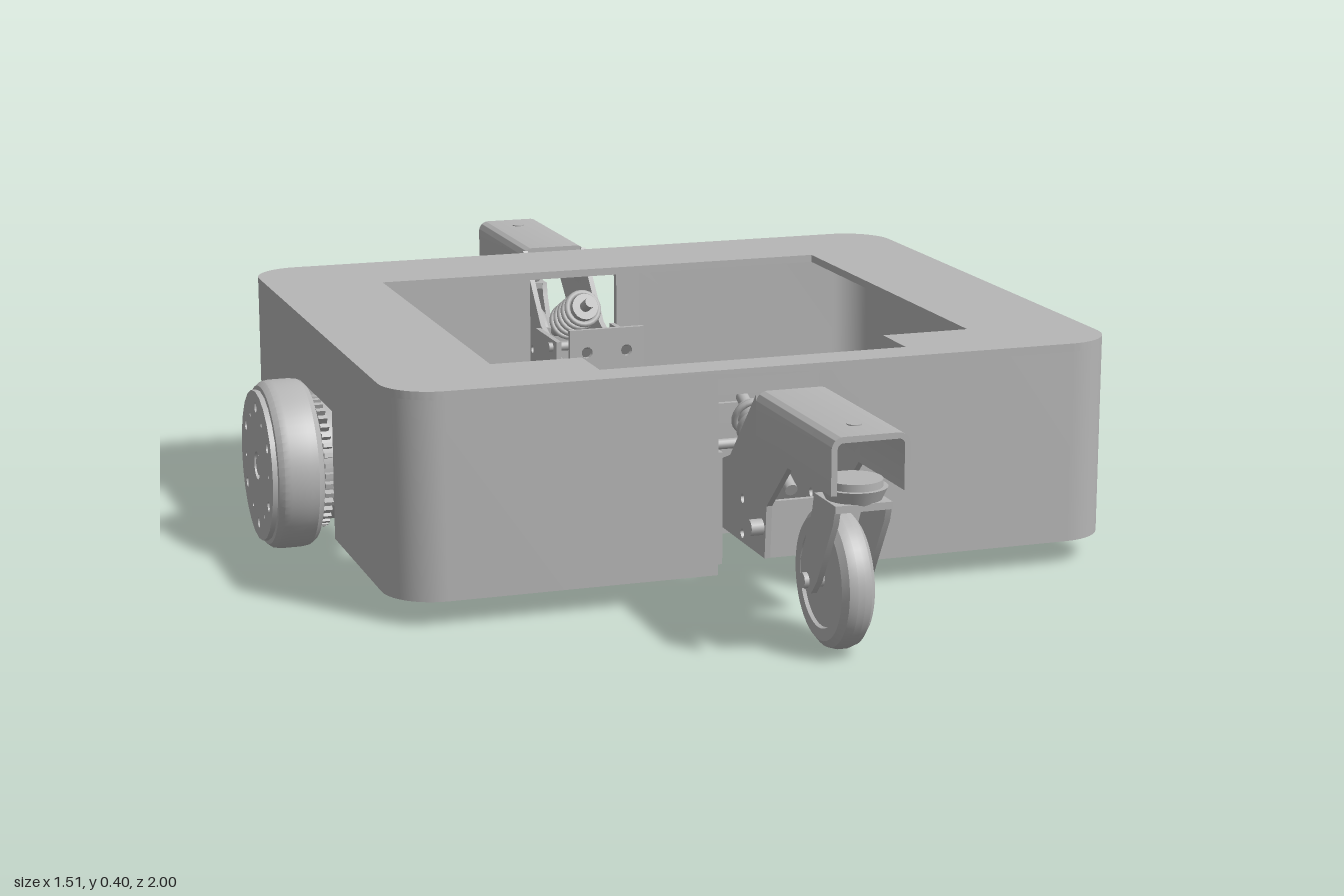
import * as THREE from 'three';
import { toCreasedNormals, mergeGeometries } from 'three/addons/utils/BufferGeometryUtils.js';

const grey = new THREE.MeshStandardMaterial({ color: 0xb6b6b6 });
grey.name = 'metalGrey';

function add(parent, name, geometry) {
  const mesh = new THREE.Mesh(geometry, grey);
  mesh.name = name;
  parent.add(mesh);
  return mesh;
}
function box(parent, name, x0, x1, y0, y1, z0, z1) {
  const g = new THREE.BoxGeometry(x1 - x0, y1 - y0, z1 - z0);
  return add(parent, name, g.translate((x0 + x1) / 2, (y0 + y1) / 2, (z0 + z1) / 2));
}
const poly = pts => new THREE.Shape(pts.map(p => new THREE.Vector2(...p)));
const circle = (x, y, r) => new THREE.Path().absarc(x, y, r, 0, Math.PI * 2, true);
const extrude = (shape, depth) => toCreasedNormals(
  new THREE.ExtrudeGeometry(shape, { depth, bevelEnabled: false, curveSegments: 12 }), 0.6);
// Plan shape drawn in (x, -z), raised from y0 to y1
const planExtrude = (shape, y0, y1) => extrude(shape, y1 - y0).rotateX(-Math.PI / 2).translate(0, y0, 0);
// Side shape drawn in (z, y), spread from x0 to x1
const sideExtrude = (shape, x0, x1) => extrude(shape, x1 - x0).rotateY(-Math.PI / 2).translate(x1, 0, 0);
// Turned shape with points (radius, x)
const turnedX = (pts, n = 48) => toCreasedNormals(
  new THREE.LatheGeometry(pts.map(p => new THREE.Vector2(...p)), n).rotateZ(-Math.PI / 2), 0.5);
const rodX = (r, x0, x1, y, z, n = 20) =>
  new THREE.CylinderGeometry(r, r, x1 - x0, n).rotateZ(Math.PI / 2).translate((x0 + x1) / 2, y, z);
const rodY = (r0, r1, y0, y1, z, n = 28) =>
  new THREE.CylinderGeometry(r1, r0, y1 - y0, n).translate(0, (y0 + y1) / 2, z);

const W = 0.648, D = 0.558, R = 0.09, T = 0.016;
const BOTTOM = 0.045, TOP = 0.398;
const SLOT = 0.09, WHEEL = 0.13;

function roundedRect(w, d, r) {
  const s = new THREE.Shape();
  s.absarc(w - r, d - r, r, 0, Math.PI / 2);
  s.absarc(-w + r, d - r, r, Math.PI / 2, Math.PI);
  s.absarc(-w + r, -d + r, r, Math.PI, Math.PI * 1.5);
  s.absarc(w - r, -d + r, r, Math.PI * 1.5, Math.PI * 2);
  s.closePath();
  return s;
}

function buildShell() {
  const shell = new THREE.Group();
  shell.name = 'shell';
  // Top frame with its stepped opening
  const top = roundedRect(W, D, R);
  top.holes.push(poly([[-0.435, 0.355], [0.435, 0.355], [0.435, -0.39], [0.275, -0.39],
    [0.275, -0.49], [-0.275, -0.49], [-0.275, -0.39], [-0.435, -0.39]]));
  add(shell, 'topFrame', planExtrude(top, TOP - 0.014, TOP));
  // Four corner walls
  for (const a of [1, -1]) for (const b of [1, -1]) {
    const pts = [[SLOT, D]];
    for (let i = 0; i <= 10; i++) {
      const t = Math.PI / 2 * (1 - i / 10);
      pts.push([W - R + R * Math.cos(t), D - R + R * Math.sin(t)]);
    }
    pts.push([W, WHEEL], [W - T, WHEEL]);
    for (let i = 0; i <= 10; i++) {
      const t = Math.PI / 2 * i / 10;
      pts.push([W - R + (R - T) * Math.cos(t), D - R + (R - T) * Math.sin(t)]);
    }
    pts.push([SLOT, D - T]);
    add(shell, 'cornerWall', planExtrude(poly(pts.map(p => [p[0] * a, p[1] * b])), BOTTOM, TOP - 0.014));
  }
  // Walls above the arm slots and the wheel openings
  for (const s of [1, -1]) {
    const z = s * (D - T / 2), x = s * (W - T / 2);
    box(shell, 'slotLintel', -SLOT, SLOT, 0.355, TOP - 0.014, z - T / 2, z + T / 2);
    box(shell, 'wheelLintel', x - T / 2, x + T / 2, 0.275, TOP - 0.014, -WHEEL, WHEEL);
  }
  return shell;
}

function buildFloor() {
  // Quarter outline, mirrored into a plate with notches for arms and wheels
  const q = [[0.555, 0], [0.555, 0.13], [0.62, 0.13], [0.62, 0.47], [0.595, 0.515], [0.56, 0.53],
    [0.09, 0.53], [0.09, 0.40], [0.08, 0.40], [0.08, 0.335]];
  const m = (a, b) => q.map(p => [p[0] * a, p[1] * b]);
  const s = poly([...m(1, 1), ...m(-1, 1).reverse(), ...m(-1, -1).slice(1), ...m(1, -1).reverse().slice(0, -1)]);
  for (const a of [1, -1]) {
    const x = a * 0.49, slot = new THREE.Path();
    slot.absarc(x, 0.06, 0.018, 0, Math.PI);
    slot.absarc(x, -0.06, 0.018, Math.PI, Math.PI * 2);
    slot.closePath();
    s.holes.push(slot);
    for (const b of [1, -1]) s.holes.push(circle(a * 0.5, b * 0.43, 0.008), circle(a * 0.2, b * 0.25, 0.006));
  }
  return planExtrude(s, 0.05, 0.06);
}

function buildDriveWheel() {
  const g = new THREE.Group();
  g.name = 'driveWheel';
  // Tyre with rounded shoulders
  add(g, 'tyre', turnedX([[0, 0.662], [0.125, 0.662], [0.14, 0.666], [0.148, 0.676], [0.15, 0.69],
    [0.15, 0.725], [0.148, 0.737], [0.141, 0.746], [0.132, 0.747], [0, 0.747]], 64));
  // Drilled cover
  const cover = new THREE.Shape().absarc(0, 0, 0.134, 0, Math.PI * 2);
  cover.holes.push(circle(0, 0, 0.025));
  for (let i = 0; i < 6; i++) {
    const t = Math.PI / 2 + i * Math.PI / 3;
    cover.holes.push(circle(0.105 * Math.cos(t), 0.105 * Math.sin(t), 0.009),
      circle(0.095 * Math.cos(t + 0.5), 0.095 * Math.sin(t + 0.5), 0.004));
  }
  add(g, 'wheelCover', sideExtrude(cover, 0.746, 0.756));
  add(g, 'axleCap', rodX(0.018, 0.745, 0.754, 0, 0));
  // Finned hub and motor
  add(g, 'motorHub', rodX(0.105, 0.6, 0.664, 0, 0, 48));
  const fins = [];
  for (let i = 0; i < 40; i++) {
    fins.push(new THREE.BoxGeometry(0.016, 0.016, 0.008).translate(0.651, 0.11, 0).rotateX(i * Math.PI / 20));
  }
  add(g, 'hubFins', mergeGeometries(fins));
  add(g, 'motorShaft', rodX(0.04, 0.555, 0.6, 0, 0, 32));
  g.position.y = 0.155;
  // Motor mounting plate
  box(g, 'motorPlate', 0.57, 0.582, -0.1, 0.08, -0.09, 0.09);
  return g;
}

function buildArm() {
  const arm = new THREE.Group();
  arm.name = 'casterArm';
  // Outer channel, open underneath and at the end
  const u = new THREE.Shape();
  u.moveTo(-0.066, 0.292);
  u.lineTo(-0.066, 0.365);
  u.absarc(-0.046, 0.365, 0.02, Math.PI, Math.PI / 2, true);
  u.absarc(0.046, 0.365, 0.02, Math.PI / 2, 0, true);
  u.lineTo(0.066, 0.292);
  u.lineTo(0.056, 0.292);
  u.lineTo(0.056, 0.365);
  u.absarc(0.046, 0.365, 0.01, 0, Math.PI / 2);
  u.absarc(-0.046, 0.365, 0.01, Math.PI / 2, Math.PI);
  u.lineTo(-0.056, 0.292);
  u.closePath();
  add(arm, 'armChannel', extrude(u, 0.33).translate(0, 0, 0.67));
  add(arm, 'topBolt', rodY(0.012, 0.012, 0.38, 0.387, 0.93, 16));
  for (const s of [1, -1]) {
    // Cranked cheek plates
    const cheek = poly([[0.67, 0.38], [0.55, 0.25], [0.42, 0.2], [0.42, 0.115], [0.715, 0.115],
      [0.722, 0.205], [0.815, 0.292], [0.83, 0.365], [0.67, 0.365]]);
    cheek.holes.push(circle(0.715, 0.32, 0.011), circle(0.61, 0.13, 0.008), circle(0.61, 0.19, 0.008));
    add(arm, 'armCheek', sideExtrude(cheek, s * 0.061 - 0.005, s * 0.061 + 0.005));
    add(arm, 'cheekBolt', rodX(0.014, s * 0.075 - 0.013, s * 0.075 + 0.013, 0.165, 0.7, 12));
    // Fixed pivot brackets on the floor
    box(arm, 'pivotBracket', s * 0.077 - 0.005, s * 0.077 + 0.005, 0.055, 0.25, 0.39, 0.53);
    // Caster fork legs, trailing back to the axle
    const leg = poly([[0.975, 0.268], [0.885, 0.268], [0.878, 0.24], [0.83, 0.145], [0.83, 0.1],
      [0.876, 0.1], [0.9, 0.125], [0.965, 0.235]]);
    add(arm, 'forkLeg', sideExtrude(leg, s * 0.043 - 0.005, s * 0.043 + 0.005));
  }
  box(arm, 'armWeb', -0.058, 0.058, 0.115, 0.125, 0.56, 0.714);
  box(arm, 'armBackWeb', -0.058, 0.058, 0.115, 0.21, 0.704, 0.714);
  add(arm, 'pivotPin', rodX(0.012, -0.098, 0.098, 0.16, 0.425, 16));
  add(arm, 'upperPin', rodX(0.009, -0.09, 0.09, 0.235, 0.42, 16));
  // Spring damper between the brackets and the arm
  const damper = new THREE.Group();
  damper.name = 'springDamper';
  add(damper, 'damperBody', rodY(0.026, 0.026, -0.05, 0.09, 0, 24));
  add(damper, 'damperRod', rodY(0.011, 0.011, -0.13, 0.13, 0, 16));
  for (let i = 0; i < 5; i++) {
    add(damper, 'springCoil', new THREE.TorusGeometry(0.032, 0.006, 8, 24).rotateX(Math.PI / 2).translate(0, -0.04 + i * 0.028, 0));
  }
  damper.position.set(0, 0.265, 0.545);
  damper.rotation.x = -1.15;
  arm.add(damper);
  // Swivel bearing and fork crown
  add(arm, 'swivelPlate', rodY(0.046, 0.046, 0.288, 0.3, 0.932));
  add(arm, 'swivelBearing', rodY(0.042, 0.054, 0.262, 0.288, 0.932));
  box(arm, 'forkCrown', -0.048, 0.048, 0.256, 0.268, 0.885, 0.975);
  // Caster wheel
  const wheel = add(arm, 'casterWheel', turnedX([[0, -0.022], [0.078, -0.022], [0.08, -0.028], [0.1, -0.028],
    [0.111, -0.019], [0.115, -0.006], [0.115, 0.006], [0.111, 0.019], [0.1, 0.028], [0.08, 0.028],
    [0.078, 0.022], [0, 0.022]]));
  wheel.position.set(0, 0.117, 0.857);
  add(arm, 'casterAxle', rodX(0.013, -0.056, 0.056, 0.117, 0.857, 12));
  // Upright drilled bracket inside the body
  const stop = poly([[-0.075, 0.06], [0.075, 0.06], [0.075, 0.285], [-0.075, 0.285]]);
  stop.holes.push(circle(-0.04, 0.24, 0.011), circle(0.04, 0.24, 0.011));
  add(arm, 'uprightBracket', extrude(stop, 0.01).translate(0, 0, 0.325));
  box(arm, 'bracketFoot', -0.075, 0.075, 0.06, 0.068, 0.28, 0.33);
  return arm;
}

export function createModel() {
  const model = new THREE.Group();
  model.name = 'mobileBase';
  model.add(buildShell());
  add(model, 'floorPlate', buildFloor());
  // Front and back arms, left and right wheels
  for (const turn of [0, Math.PI]) {
    const arm = buildArm();
    const wheel = buildDriveWheel();
    arm.rotation.y = wheel.rotation.y = turn;
    model.add(arm, wheel);
  }
  return model;
}
